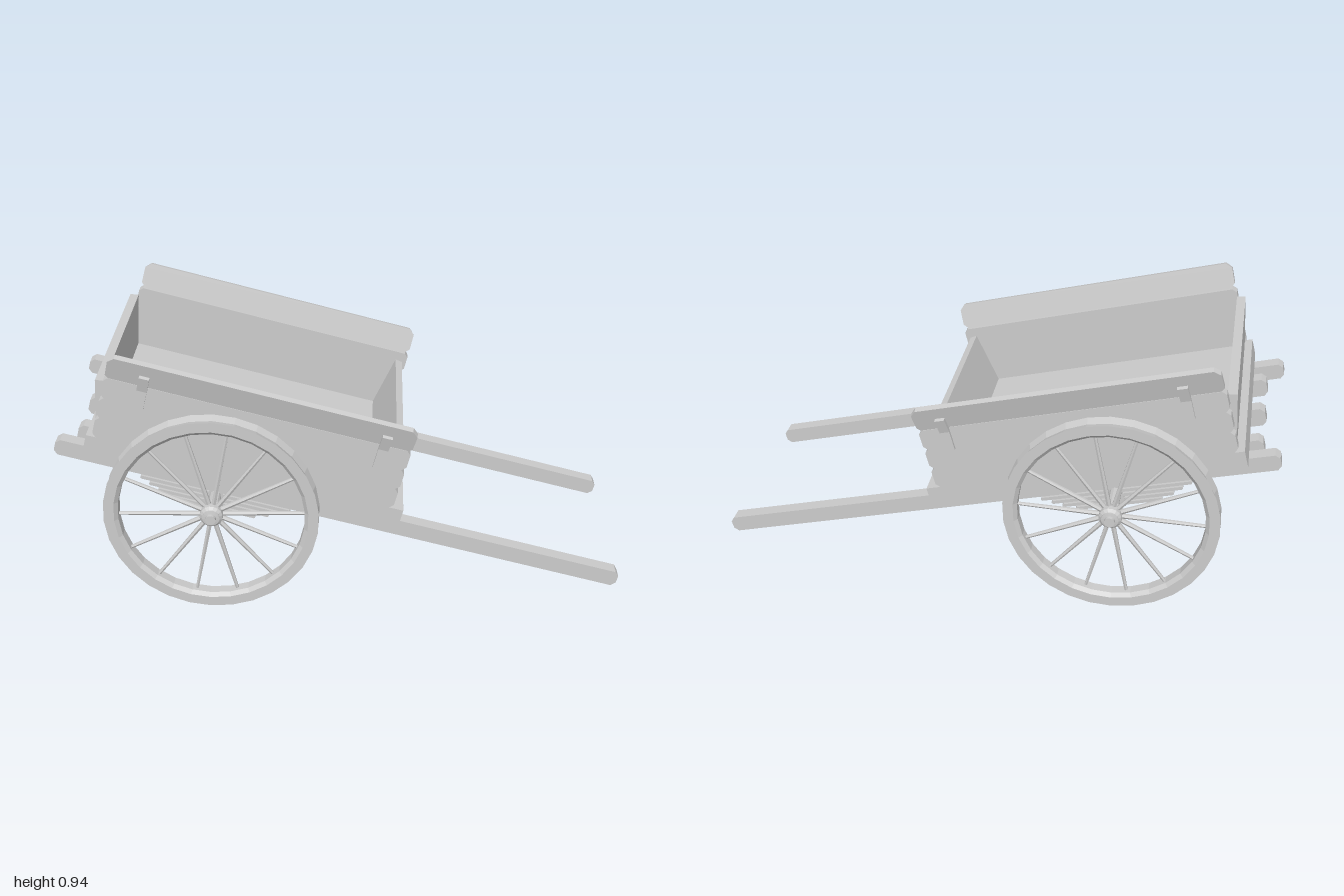
import * as THREE from 'three';

const material = new THREE.MeshStandardMaterial({ color: 0xcccccc, flatShading: true });

function add(parent, name, geometry) {
  const mesh = new THREE.Mesh(geometry, material);
  mesh.name = name;
  parent.add(mesh);
  return mesh;
}

// Extrude a side outline across the cart, centred on z
function slab(parent, name, points, width, z = 0) {
  const shape = new THREE.Shape(points.map(([x, y]) => new THREE.Vector2(x, y)));
  const geometry = new THREE.ExtrudeGeometry(shape, { depth: width, bevelEnabled: false });
  geometry.translate(0, 0, -width / 2);
  const mesh = add(parent, name, geometry);
  mesh.position.z = z;
  return mesh;
}

// Straight timber with chamfered ends
function plank(parent, name, x0, x1, y0, y1, width, z = 0, c = 0.015) {
  return slab(parent, name, [
    [x0 + c, y0], [x1 - c, y0], [x1, y0 + c], [x1, y1 - c],
    [x1 - c, y1], [x0 + c, y1], [x0, y1 - c], [x0, y0 + c],
  ], width, z);
}

function makeWheel(side) {
  const wheel = new THREE.Group();
  wheel.name = side > 0 ? 'leftWheel' : 'rightWheel';

  // Rim with a shallow groove around the tread
  const rimProfile = [
    [0.322, -0.018], [0.335, -0.03], [0.371, -0.03], [0.362, 0],
    [0.371, 0.03], [0.335, 0.03], [0.322, 0.018], [0.322, -0.018],
  ].map(([r, y]) => new THREE.Vector2(r, y));
  add(wheel, 'rim', new THREE.LatheGeometry(rimProfile, 30)).rotation.x = Math.PI / 2;

  // Stepped hub, pointing outwards
  const hubProfile = [
    [0, -0.04], [0.028, -0.04], [0.028, -0.025], [0.04, -0.02],
    [0.04, 0.022], [0.03, 0.03], [0.03, 0.034], [0.018, 0.036], [0.018, 0.049], [0, 0.049],
  ].map(([r, y]) => new THREE.Vector2(r, y));
  add(wheel, 'hub', new THREE.LatheGeometry(hubProfile, 16)).rotation.x = side * Math.PI / 2;

  // Tapered spokes
  const count = 14;
  for (let i = 0; i < count; i++) {
    const a = (i / count) * Math.PI * 2 + 0.05;
    const spoke = add(wheel, 'spoke', new THREE.CylinderGeometry(0.006, 0.009, 0.3, 6));
    spoke.position.set(-Math.sin(a) * 0.18, Math.cos(a) * 0.18, 0);
    spoke.rotation.z = a;
  }
  wheel.position.z = side * 0.46;
  return wheel;
}

export function createModel() {
  const cart = new THREE.Group();
  cart.name = 'handCart';

  // Everything hangs on the axle and tips forward onto the shafts
  const body = new THREE.Group();
  body.name = 'body';
  body.position.set(-0.446, 0.373, 0);
  body.rotation.z = -0.2583;
  cart.add(body);

  // Floor and the beams beneath it
  slab(body, 'floor', [[-0.478, 0.085], [0.644, 0.085], [0.644, 0.148], [-0.478, 0.148]], 0.79);
  for (const z of [-0.209, 0, 0.209]) plank(body, 'floorBeam', -0.522, 0.668, 0.017, 0.085, 0.049, z);

  // Leaning end boards
  slab(body, 'frontBoard', [[0.527, 0.148], [0.555, 0.148], [0.59, 0.345], [0.564, 0.349]], 0.72);
  slab(body, 'tailBoard', [[-0.45, 0.148], [-0.42, 0.148], [-0.456, 0.351], [-0.487, 0.345]], 0.72);

  for (const side of [1, -1]) {
    // Side walls of three planks with notched ends
    for (let i = 0; i < 3; i++) {
      const y = 0.148 + i * 0.078;
      plank(body, 'sidePlank', -0.458, 0.606, y, y + 0.078, 0.035, side * 0.3775, 0.014);
    }

    // Flared top rail, with cleats fixing it to the wall
    const rail = plank(body, 'topRail', -0.455, 0.607, -0.049, 0.049, 0.022, side * 0.392, 0.02);
    rail.position.y = 0.424;
    rail.rotation.x = side * 0.25;
    for (const x of [-0.325, 0.51]) {
      const cleat = new THREE.Group();
      cleat.name = 'cleat';
      cleat.position.set(x, 0.37, side * 0.398);
      body.add(cleat);
      const lower = add(cleat, 'cleatLower', new THREE.BoxGeometry(0.035, 0.075, 0.014));
      lower.position.y = -0.036;
      const upper = add(cleat, 'cleatUpper', new THREE.BoxGeometry(0.035, 0.058, 0.014));
      upper.position.set(0, 0.027, side * 0.007);
      upper.rotation.x = side * 0.25;
    }

    // Pulling shaft and the leaf spring below it
    const shaftZ = side > 0 ? 0.325 : -0.303;
    plank(body, 'shaft', -0.58, 1.475, 0.017, 0.076, 0.049, shaftZ);
    [0.27, 0.235, 0.2, 0.155].forEach((half, i) => {
      const y = 0.004 - i * 0.018;
      plank(body, 'springLeaf', -half, half, y - 0.006, y + 0.006, 0.045, shaftZ, 0.004);
    });
    add(body, 'springClamp', new THREE.BoxGeometry(0.05, 0.08, 0.047)).position.set(0, -0.02, shaftZ);

    body.add(makeWheel(side));
  }

  // Axle
  add(body, 'axle', new THREE.CylinderGeometry(0.021, 0.021, 0.86, 12)).rotation.x = Math.PI / 2;

  return cart;
}
